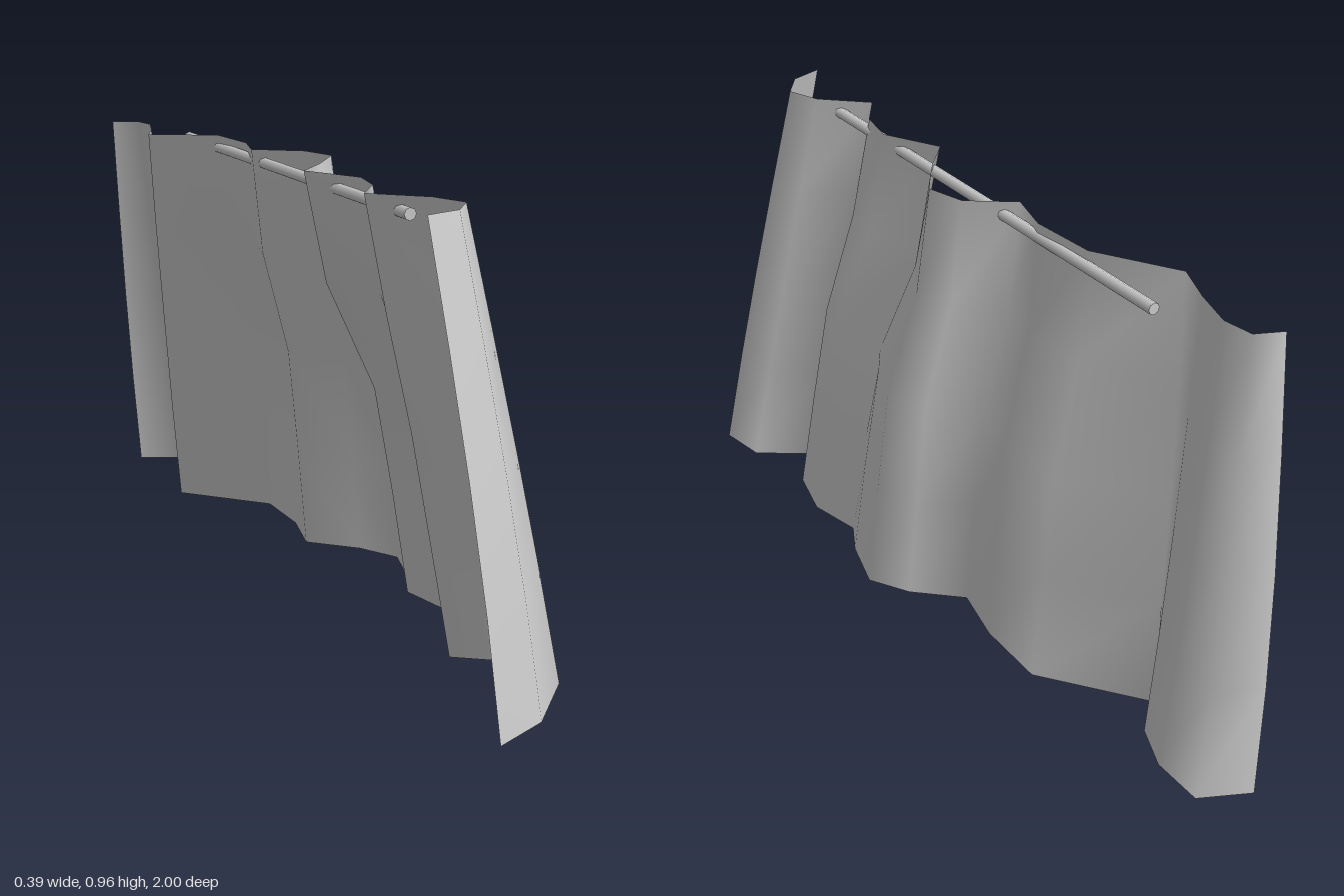
import * as THREE from 'three';

// Fold line of the cloth as [x, z], front end to back end
const TOP = [
  [-0.13, 0.81], [-0.05, 0.78], [0, 0.71], [-0.03, 0.63], [-0.13, 0.54], [-0.07, 0.45], [-0.05, 0.35],
  [-0.12, 0.22], [-0.05, 0.14], [0.025, 0.03], [0, -0.06], [-0.1, -0.13], [-0.07, -0.24], [-0.08, -0.4],
  [-0.2, -0.56], [-0.16, -0.66], [-0.13, -0.76], [-0.14, -0.83], [-0.2, -0.855],
];
const BOTTOM = [
  [-0.06, 1], [0.06, 0.94], [0.18, 0.8], [0.16, 0.68], [0.04, 0.6], [0.12, 0.5], [0.15, 0.37],
  [0.12, 0.24], [0.16, 0.16], [0.195, 0.03], [0.14, -0.06], [0.04, -0.15], [0.07, -0.29], [0.07, -0.46],
  [-0.1, -0.66], [-0.03, -0.73], [0.01, -0.83], [0.01, -0.95], [-0.1, -1],
];
// Blend from bottom to top per row: height, depth, sideways sag of the middle folds
const ROWS = [[0, 0, 0], [0.25, 0.16, 0.16], [0.5, 0.39, 0.34], [0.75, 0.68, 0.8], [1, 1, 1]];

function curtainGeometry() {
  const { lerp, smoothstep } = THREE.MathUtils;
  const n = TOP.length;
  const positions = [], indices = [];
  ROWS.forEach(([h, depth, sag], r) => {
    for (let i = 0; i < n; i++) {
      const z = lerp(BOTTOM[i][1], TOP[i][1], depth);
      // the outer folds hang straight, the middle ones kink
      const side = lerp(sag, h, smoothstep(Math.abs(z), 0.35, 0.65));
      const x = lerp(BOTTOM[i][0], TOP[i][0], side);
      // the back end hangs slightly lower
      const drop = 0.012 * smoothstep(-z, 0.38, 0.6);
      positions.push(x, lerp(0.013, 0.965, h) - drop, z);
      if (r && i) {
        const d = r * n + i, c = d - 1, b = d - n, a = b - 1;
        indices.push(a, b, d, a, d, c);
      }
    }
  });
  const geometry = new THREE.BufferGeometry();
  geometry.setAttribute('position', new THREE.Float32BufferAttribute(positions, 3));
  geometry.setIndex(indices);
  geometry.computeVertexNormals();
  return geometry;
}

export function createModel() {
  const group = new THREE.Group();
  group.name = 'curtain';

  // Hanging cloth
  const cloth = new THREE.Mesh(
    curtainGeometry(),
    new THREE.MeshStandardMaterial({ color: 0xcccccc, side: THREE.DoubleSide })
  );
  cloth.name = 'cloth';
  group.add(cloth);

  // Rod threaded through the folds
  const rod = new THREE.Mesh(
    new THREE.CylinderGeometry(0.013, 0.013, 1.25, 8),
    new THREE.MeshStandardMaterial({ color: 0xcccccc })
  );
  rod.name = 'rod';
  rod.rotation.x = Math.PI / 2;
  rod.position.set(-0.073, 0.934, 0);
  group.add(rod);

  return group;
}
